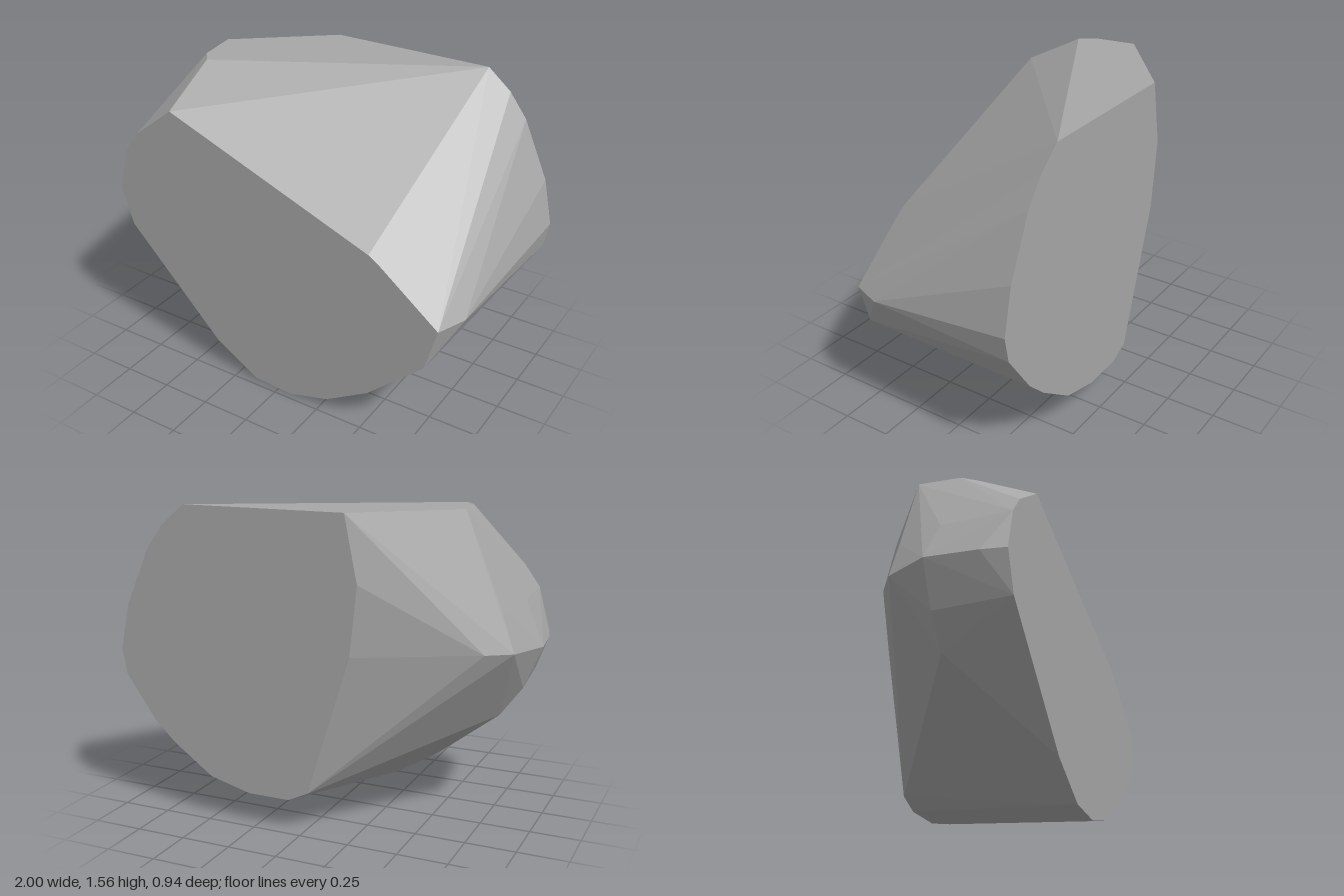
import * as THREE from 'three';
import { ConvexGeometry } from 'three/addons/geometries/ConvexGeometry.js';

const DEPTH = 0.47;

// Outline of the flat front cut (x, y)
const front = [
  [-0.58, 1.4], [0.51, 0.97], [0.57, 0.93], [0.87, 0.69], [0.81, 0.47], [0.52, 0.2], [0.29, 0.06],
  [0.07, 0], [-0.14, 0.015], [-0.37, 0.16], [-0.88, 0.7], [-0.94, 0.9], [-0.88, 1.12], [-0.8, 1.23],
];

// Outline of the flat back cut (x, y)
const back = [
  [-0.22, 1.56], [0.61, 1.56], [0.73, 1.46], [0.82, 1.34], [0.95, 1.05], [1, 0.82], [0.975, 0.69],
  [0.82, 0.47], [0.71, 0.365], [0.5, 0.215], [0.289, 0.16], [0.074, 0.16], [-0.03, 0.21],
  [-0.247, 0.905], [-0.283, 1.243],
];

// Corners of the flat top (x, z)
const top = [[-0.58, 0.17], [-0.635, 0.1], [-0.665, -0.11]];

// Corners of the chipped sides (x, y, z)
const sides = [
  [-1, 0.905, 0.1], [-0.97, 0.9, 0.35], [-0.915, 0.907, -0.11], [-0.8, 0.91, -0.2],
  [-0.9, 1.12, 0.13], [-0.845, 1.11, -0.1], [-0.91, 0.69, 0.1], [-0.8, 0.54, 0.1],
  [0.93, 0.69, 0.32],
];

export function createModel() {
  const stone = new THREE.MeshStandardMaterial({ color: 0xa6a6a6, flatShading: true });
  stone.name = 'grey stone';

  const points = [
    ...front.map(([x, y]) => new THREE.Vector3(x, y, DEPTH)),
    ...back.map(([x, y]) => new THREE.Vector3(x, y, -DEPTH)),
    ...top.map(([x, z]) => new THREE.Vector3(x, 1.56, z)),
    ...sides.map((p) => new THREE.Vector3(...p)),
  ];

  // One faceted boulder wrapped around all the corners
  const boulder = new THREE.Mesh(new ConvexGeometry(points), stone);
  boulder.name = 'boulder';

  const group = new THREE.Group();
  group.name = 'rock';
  group.add(boulder);
  return group;
}
